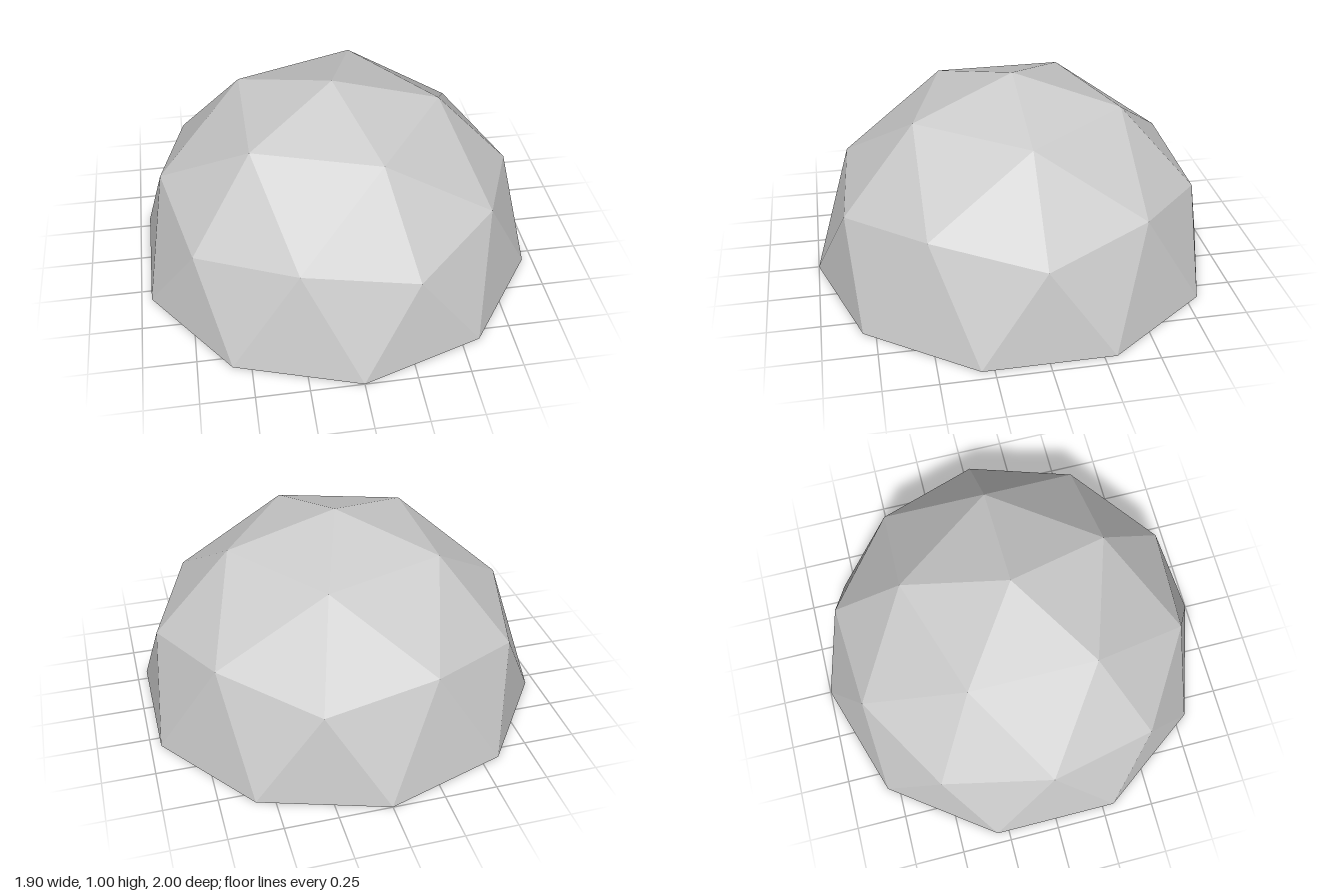
import * as THREE from 'three';

// Point on a horizontal ring, angle in degrees from +x towards +z
const onRing = (radius, y, degrees) => {
  const a = THREE.MathUtils.degToRad(degrees);
  return new THREE.Vector3(radius * Math.cos(a), y, radius * Math.sin(a));
};

// Unit-radius geodesic half sphere: one fivefold sector repeated around y
function geodesicShell() {
  const s5 = Math.sqrt(5);
  const hubY = 1 / s5, hubR = 2 / s5;             // five-way joints
  const small = Math.sqrt((5 - s5) / 10);         // 0.526
  const large = Math.sqrt((5 + s5) / 10);         // 0.851
  const apex = new THREE.Vector3(0, 1, 0);
  const upper = (k) => onRing(small, large, 72 * k);
  const middle = (k) => onRing(large, small, 72 * k + 36);
  const hub = (k) => onRing(hubR, hubY, 72 * k);
  const base = (degrees) => onRing(1, 0, degrees);

  const points = [];
  for (let k = 0; k < 5; k++) {
    const footA = base(72 * k - 18), footB = base(72 * k + 18), footC = base(72 * k + 54);
    points.push(
      // cap
      apex, upper(k + 1), upper(k),
      // sloping band
      middle(k), upper(k), upper(k + 1),
      upper(k), middle(k), hub(k),
      upper(k), hub(k), middle(k - 1),
      // wall down to the ground
      hub(k), footB, footA,
      footB, hub(k), middle(k),
      middle(k), footC, footB,
      footC, middle(k), hub(k + 1),
    );
  }
  const geometry = new THREE.BufferGeometry().setFromPoints(points);
  geometry.computeVertexNormals();
  return geometry;
}

export function createModel() {
  const model = new THREE.Group();
  model.name = 'geodesicDome';
  const material = new THREE.MeshStandardMaterial({
    color: 0xcccccc, flatShading: true, side: THREE.DoubleSide,
  });
  const shell = new THREE.Mesh(geodesicShell(), material);
  shell.name = 'domeShell';
  model.add(shell);
  return model;
}
